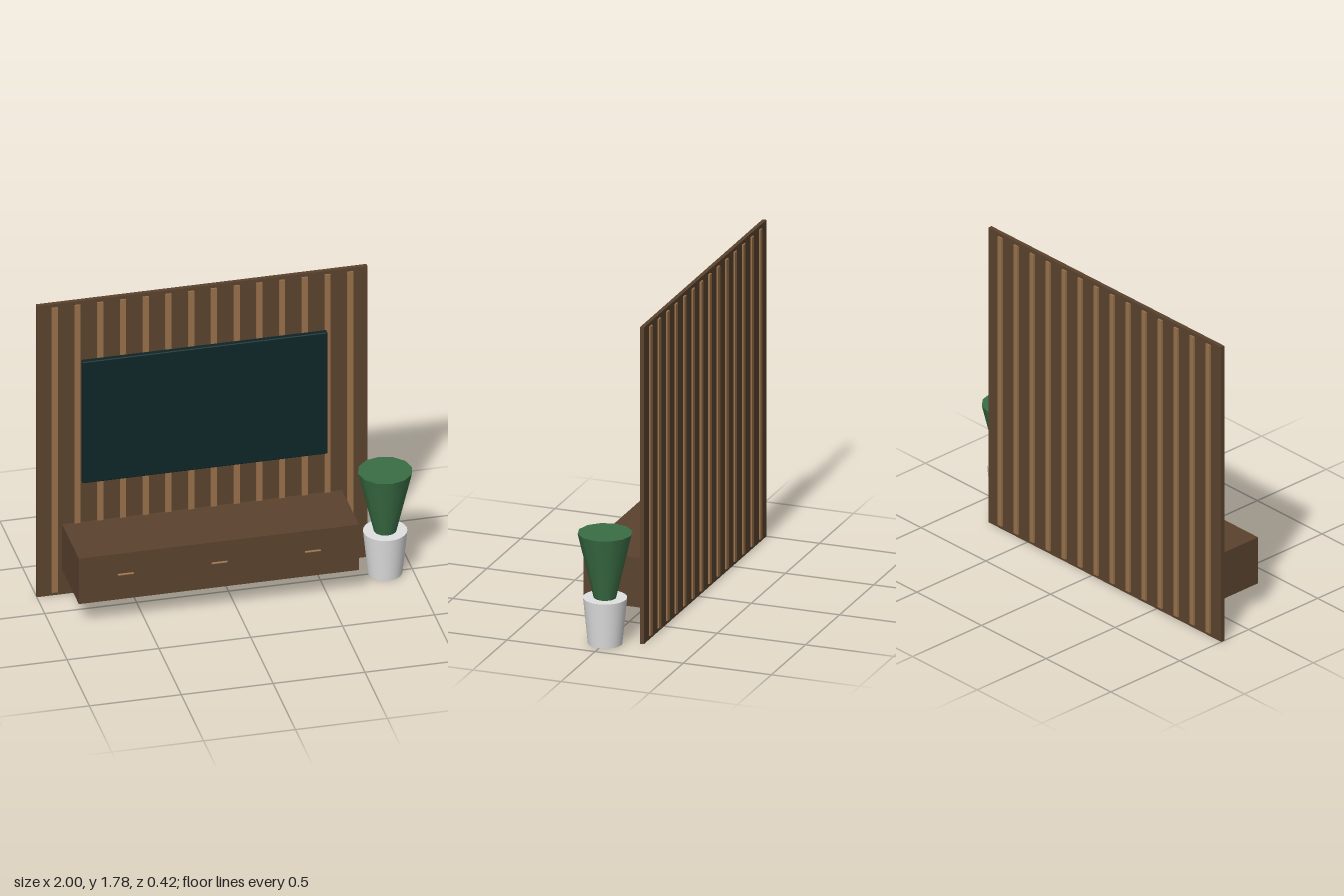
import * as THREE from 'three';
import { RoundedBoxGeometry } from 'three/addons/geometries/RoundedBoxGeometry.js';

const material = (name, color) => {
  const m = new THREE.MeshStandardMaterial({ color });
  m.name = name;
  return m;
};

export function createModel() {
  const darkWood = material('dark wood', 0x5a432e);
  const lightWood = material('light wood', 0x99714a);
  const screenBlack = material('screen black', 0x0e2528);
  const leafGreen = material('leaf green', 0x3a6e45);
  const white = material('white', 0xe0e0e0);

  const model = new THREE.Group();
  model.name = 'mediaWall';

  const add = (name, geometry, mat, x, y, z, parent = model) => {
    const mesh = new THREE.Mesh(geometry, mat);
    mesh.name = name;
    mesh.position.set(x, y, z);
    parent.add(mesh);
    return mesh;
  };
  // Box given by its minimum and maximum on each axis
  const box = (name, mat, [x0, x1], [y0, y1], [z0, z1], parent) =>
    add(name, new THREE.BoxGeometry(x1 - x0, y1 - y0, z1 - z0), mat,
      (x0 + x1) / 2, (y0 + y1) / 2, (z0 + z1) / 2, parent);

  // Back panel with slats that stand proud on both faces
  box('wallPanel', darkWood, [-1, 0.8], [0, 1.78], [-0.199, -0.177]);
  const slats = new THREE.Group();
  slats.name = 'slats';
  model.add(slats);
  for (let i = 0; i < 14; i++) {
    const x = -0.904 + i * 0.1238;
    box('slat', lightWood, [x - 0.016, x + 0.016], [0.02, 1.76], [-0.208, -0.168], slats);
  }

  // Television with softened edges and a light strip behind it
  add('television', new RoundedBoxGeometry(1.335, 0.742, 0.032, 2, 0.006), screenBlack, -0.098, 1.065, -0.136);
  box('televisionLight', white, [-0.72, 0.53], [1.414, 1.422], [-0.16, -0.15]);

  // Floating cabinet, its under-light and three bar handles
  box('cabinet', darkWood, [-0.862, 0.662], [0.15, 0.428], [-0.18, 0.197]);
  box('cabinetLight', white, [-0.825, 0.625], [0.138, 0.15], [-0.145, -0.13]);
  for (const x of [-0.608, -0.098, 0.41]) {
    const handle = add('handle', new THREE.CylinderGeometry(0.006, 0.006, 0.085, 12), lightWood, x, 0.302, 0.202);
    handle.rotation.z = Math.PI / 2;
  }

  // Potted plant: tapered pot and inverted cone of foliage
  const plant = new THREE.Group();
  plant.name = 'plant';
  plant.position.x = 0.853;
  model.add(plant);
  add('pot', new THREE.CylinderGeometry(0.118, 0.092, 0.257, 24), white, 0, 0.1285, 0, plant);
  add('foliage', new THREE.CylinderGeometry(0.147, 0.058, 0.375, 12), leafGreen, 0, 0.4335, 0, plant);

  return model;
}
